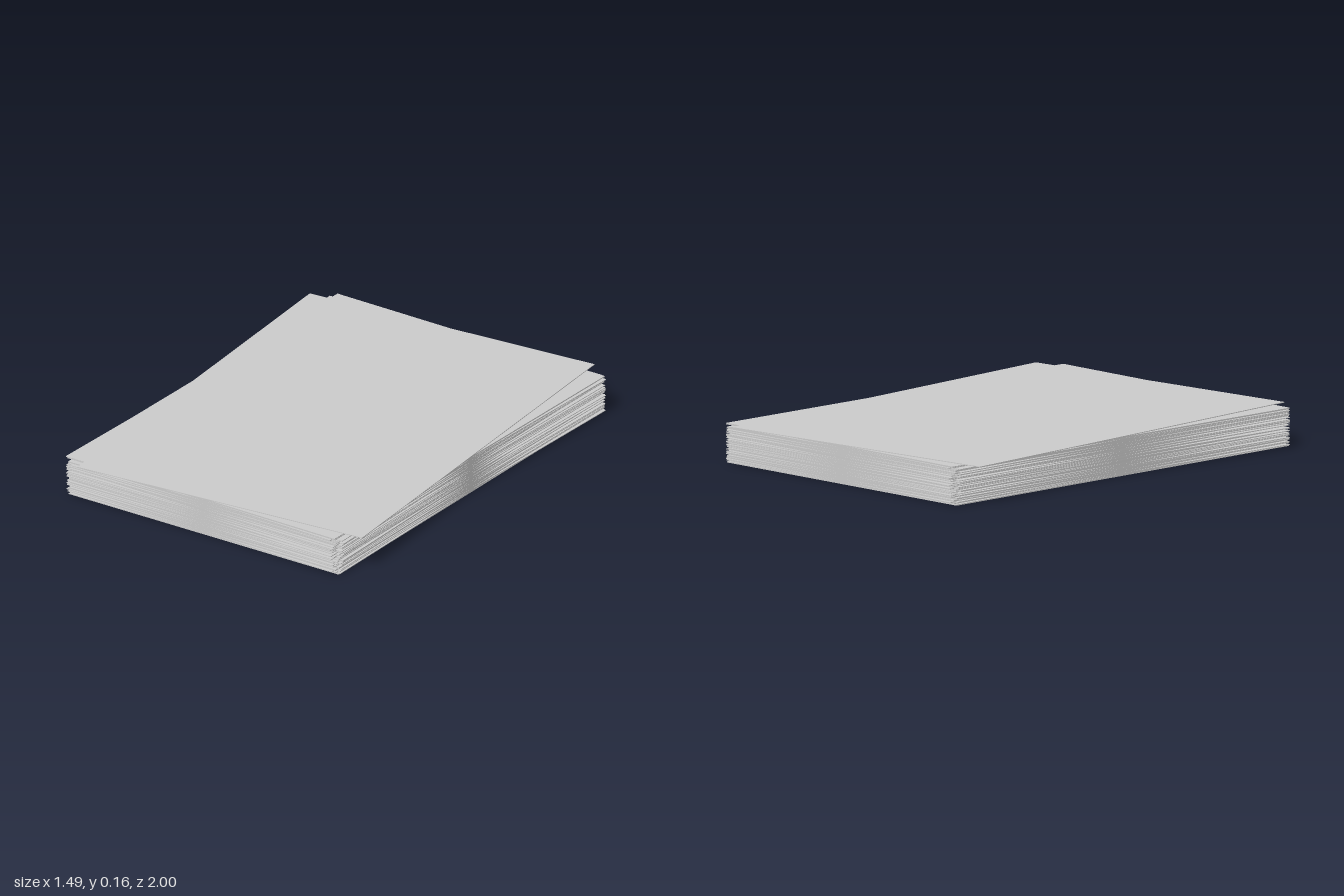
import * as THREE from 'three';

const COUNT = 52;
const WIDTH = 1.335, DEPTH = 1.888, HEIGHT = 0.164;
const MAX_TWIST = 0.027;   // slight misalignment of the stacked cards
const TOP_TWIST = 0.087;   // the top card is turned further

// Small seeded generator so the stack is always the same
function seeded(seed) {
  return () => {
    seed = (seed * 16807) % 2147483647;
    return seed / 2147483647;
  };
}

export function createModel() {
  const model = new THREE.Group();
  model.name = 'cardStack';

  const material = new THREE.MeshStandardMaterial({ color: 0xcccccc });
  const thickness = HEIGHT / COUNT;
  const cardGeometry = new THREE.BoxGeometry(WIDTH, thickness, DEPTH);
  const random = seeded(4217);

  // Thin square-cornered cards, each turned a little about the vertical axis
  for (let i = 0; i < COUNT; i++) {
    const isTop = i === COUNT - 1;
    const card = new THREE.Mesh(cardGeometry, material);
    card.name = isTop ? 'topCard' : `card${i + 1}`;
    card.position.y = (i + 0.5) * thickness;
    const twist = (random() * 2 - 1) * MAX_TWIST;
    card.rotation.y = isTop ? TOP_TWIST : i === 0 ? 0.004 : twist;
    model.add(card);
  }

  return model;
}
